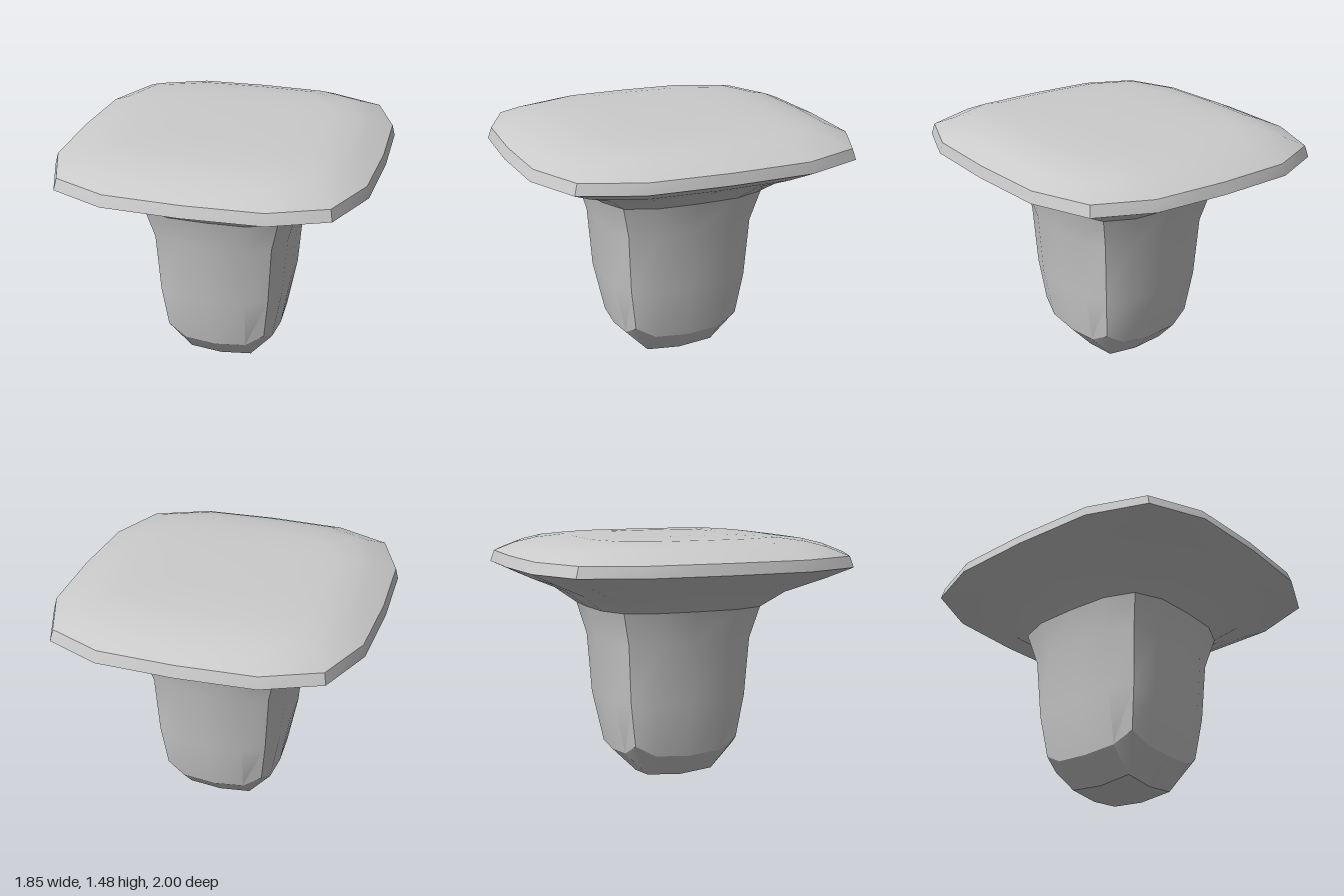
import * as THREE from 'three';
import { toCreasedNormals } from 'three/addons/utils/BufferGeometryUtils.js';

// A 16-sided rounded-square ring: quarter points at (q, s), corners at (c, c),
// raised by dq and dc above the middles of the sides.
function ring({ y, hx, hz, q = 0.487, s = 0.98, c = 0.835, dq = 0, dc = 0 }) {
  const points = [];
  let quadrant = [[0, 1, 0], [q, s, dq], [c, c, dc], [s, q, dq]];
  for (let k = 0; k < 4; k++) {
    for (const [x, z, d] of quadrant) points.push(new THREE.Vector3(x * hx, y + d, z * hz));
    quadrant = quadrant.map(([x, z, d]) => [z, -x, d]);
  }
  return points;
}

// Skins rings from bottom to top, with optional centre points closing the ends.
function loft(rings, bottomY, topY) {
  const pos = [];
  const tri = (a, b, c) => {
    if (new THREE.Triangle(a, b, c).getArea() < 1e-7) return;
    for (const p of [a, b, c]) pos.push(p.x, p.y, p.z);
  };
  const n = rings[0].length;
  for (let i = 0; i < n; i++) {
    const j = (i + 1) % n;
    for (let r = 0; r + 1 < rings.length; r++) {
      const a = rings[r], b = rings[r + 1];
      tri(a[i], a[j], b[j]);
      tri(a[i], b[j], b[i]);
    }
    const first = rings[0], last = rings[rings.length - 1];
    if (bottomY !== undefined) tri(new THREE.Vector3(0, bottomY, 0), first[j], first[i]);
    if (topY !== undefined) tri(last[i], last[j], new THREE.Vector3(0, topY, 0));
  }
  const geometry = new THREE.BufferGeometry();
  geometry.setAttribute('position', new THREE.Float32BufferAttribute(pos, 3));
  return toCreasedNormals(geometry, THREE.MathUtils.degToRad(29));
}

export function createModel() {
  const group = new THREE.Group();
  group.name = 'knob';
  const material = new THREE.MeshStandardMaterial({ color: 0xcccccc, side: THREE.DoubleSide });
  const add = (name, geometry) => {
    const mesh = new THREE.Mesh(geometry, material);
    mesh.name = name;
    group.add(mesh);
  };

  // Tapered stem with a bevelled foot
  add('stem', loft([
    { y: 0.022, hx: 0.19, hz: 0.21, q: 1, s: 1, c: 1, dq: 0.02, dc: 0.02 },
    { y: 0.17, hx: 0.33, hz: 0.36, q: 0.575, s: 0.975, c: 0.905, dq: 0.015, dc: 0.08 },
    { y: 0.5, hx: 0.39, hz: 0.43, q: 0.52, c: 0.845, dc: 0.01 },
    { y: 0.865, hx: 0.42, hz: 0.46 },
    { y: 1.055, hx: 0.475, hz: 0.515 },
  ].map(ring), 0));

  // Flared underside, thin rim and domed top
  add('cap', loft([
    [1.055, 0.475, 0.515],
    [1.15, 0.6, 0.645],
    [1.235, 0.79, 0.85],
    [1.305, 0.927, 1],
    [1.37, 0.912, 0.978],
    [1.42, 0.80, 0.86],
    [1.45, 0.715, 0.74],
    [1.47, 0.57, 0.58],
    [1.478, 0.3, 0.32],
  ].map(([y, hx, hz]) => ring({ y, hx, hz })), undefined, 1.48));

  return group;
}
